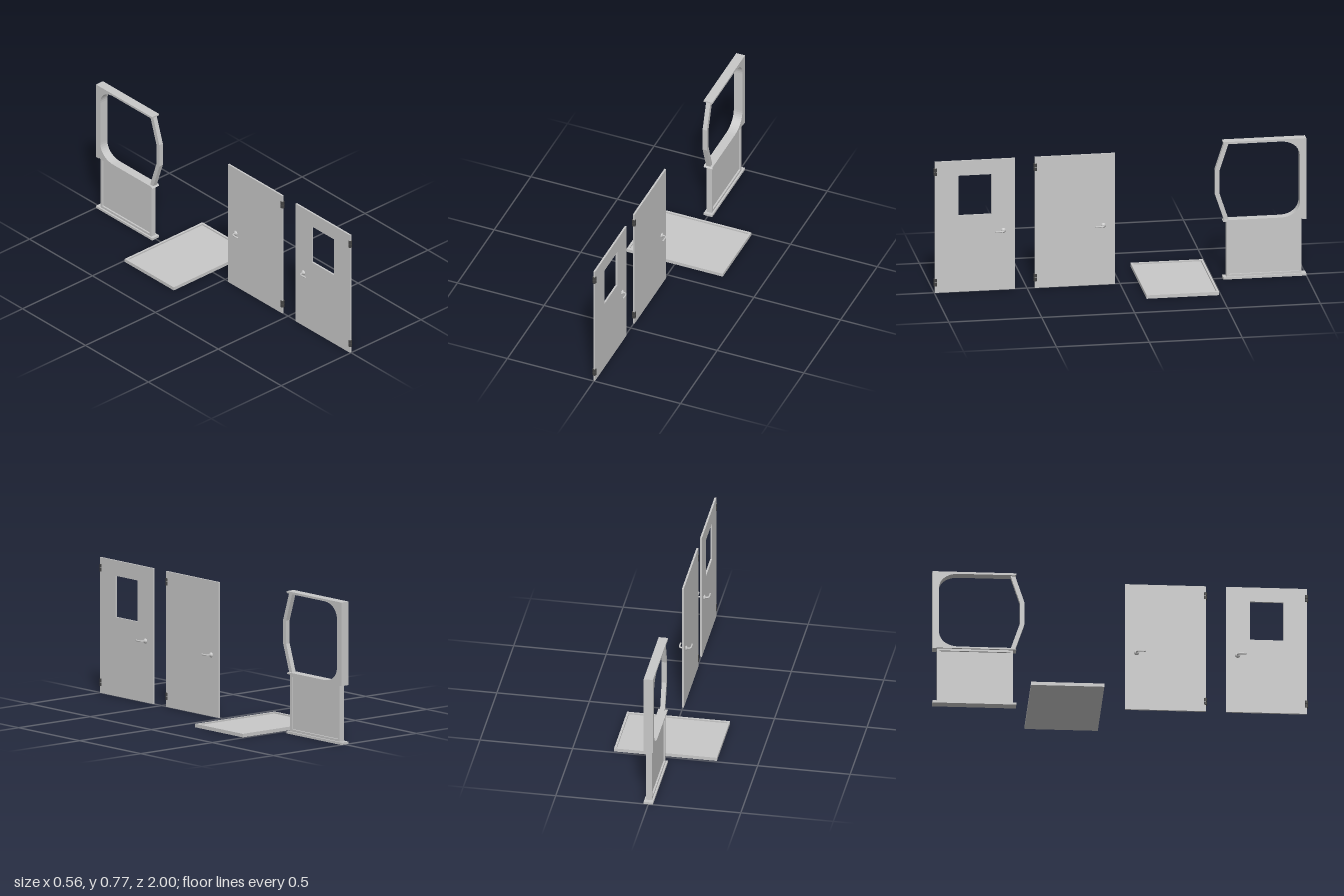
import * as THREE from 'three';

export function createModel() {
  const root = new THREE.Group();
  const grey = new THREE.MeshStandardMaterial({ color: 0xc8c8c8 });
  grey.name = 'light grey';
  const dark = new THREE.MeshStandardMaterial({ color: 0x444444 });
  dark.name = 'dark grey';

  const add = (parent, name, geo, mat = grey) => {
    const mesh = new THREE.Mesh(geo, mat);
    mesh.name = name;
    parent.add(mesh);
    return mesh;
  };
  const group = (name) => {
    const g = new THREE.Group();
    g.name = name;
    root.add(g);
    return g;
  };
  // Box given by its limits on each axis
  const box = (x0, x1, y0, y1, z0, z1) =>
    new THREE.BoxGeometry(x1 - x0, y1 - y0, z1 - z0)
      .translate((x0 + x1) / 2, (y0 + y1) / 2, (z0 + z1) / 2);
  // Extrude a side profile drawn as (z, y) to a given width in x
  const extrudeX = (shape, width) =>
    new THREE.ExtrudeGeometry(shape, { depth: width, bevelEnabled: false, curveSegments: 12 })
      .translate(0, 0, -width / 2).rotateY(-Math.PI / 2);
  const poly = (points) => new THREE.Shape(points.map(([z, y]) => new THREE.Vector2(z, y)));
  const rect = (z0, z1, y0, y1) => poly([[z0, y0], [z1, y0], [z1, y1], [z0, y1]]);

  // Hinged doors, one with a window opening
  function door(name, zBack, hasWindow) {
    const g = group(name);
    const panel = rect(0, 0.432, 0, 0.733);
    if (hasWindow) panel.holes.push(rect(0.128, 0.305, 0.427, 0.65));
    add(g, 'doorPanel', extrudeX(panel, 0.01));

    // Two knuckles per hinge
    for (const y of [0.047, 0.068, 0.666, 0.687]) {
      add(g, 'hingeKnuckle', new THREE.CylinderGeometry(0.01, 0.01, 0.018, 16), dark)
        .position.set(0, y, 0.428);
    }
    // Round boss with a lever on both faces
    add(g, 'handleBoss', new THREE.SphereGeometry(0.015, 20, 14)).position.set(0, 0.332, 0.062);
    for (const s of [-1, 1]) {
      const path = new THREE.CatmullRomCurve3([
        [0, 0.062], [0.02, 0.062], [0.028, 0.066], [0.031, 0.075], [0.031, 0.105],
      ].map(([x, z]) => new THREE.Vector3(s * x, 0.332, z)));
      add(g, 'handleLever', new THREE.TubeGeometry(path, 20, 0.0045, 10));
      add(g, 'leverTip', new THREE.SphereGeometry(0.0045, 10, 8)).position.set(s * 0.031, 0.332, 0.105);
    }
    g.position.z = zBack;
  }
  door('windowDoor', 0.565, true);
  door('plainDoor', 0.027, false);

  // Shallow tray: floor and raised rim
  const tray = group('tray');
  add(tray, 'trayFloor', box(-0.27, 0.27, 0, 0.011, -0.48, -0.11));
  for (const s of [-1, 1]) {
    add(tray, 'sideRim', box(-0.006, 0.006, 0, 0.019, -0.49, -0.1)).position.x = s * 0.272;
    add(tray, 'endRim', box(-0.266, 0.266, 0, 0.019, -0.006, 0.006)).position.z = -0.295 + s * 0.189;
  }

  // Upper window frame with rounded rear corners
  const unit = group('windowUnit');
  const frame = new THREE.Shape();
  frame.moveTo(-0.553, 0.77);
  frame.lineTo(-1, 0.77);
  frame.lineTo(-1, 0.318);
  frame.lineTo(-0.978, 0.318);
  frame.lineTo(-0.978, 0.322);
  frame.lineTo(-0.553, 0.322);
  frame.lineTo(-0.56, 0.332);
  frame.lineTo(-0.86, 0.332);
  frame.bezierCurveTo(-0.92, 0.332, -0.965, 0.365, -0.965, 0.42);
  frame.lineTo(-0.965, 0.67);
  frame.bezierCurveTo(-0.965, 0.725, -0.92, 0.758, -0.86, 0.758);
  frame.lineTo(-0.56, 0.758);
  frame.lineTo(-0.553, 0.762);
  add(unit, 'windowFrame', extrudeX(frame, 0.05));

  // Bowed front mullion
  add(unit, 'bowedMullion', extrudeX(poly([
    [-0.558, 0.332], [-0.51, 0.476], [-0.51, 0.61], [-0.558, 0.758],
    [-0.583, 0.758], [-0.534, 0.606], [-0.534, 0.48], [-0.583, 0.332],
  ]), 0.025));

  // Lower framed panel on a base plate
  add(unit, 'basePlate', box(-0.025, 0.025, 0, 0.013, -1, -0.553));
  const lower = rect(-0.976, -0.57, 0.013, 0.322);
  lower.holes.push(rect(-0.962, -0.584, 0.025, 0.31));
  add(unit, 'lowerFrame', extrudeX(lower, 0.031));
  add(unit, 'lowerPanel', box(-0.006, 0.006, 0.02, 0.316, -0.97, -0.576));

  return root;
}
